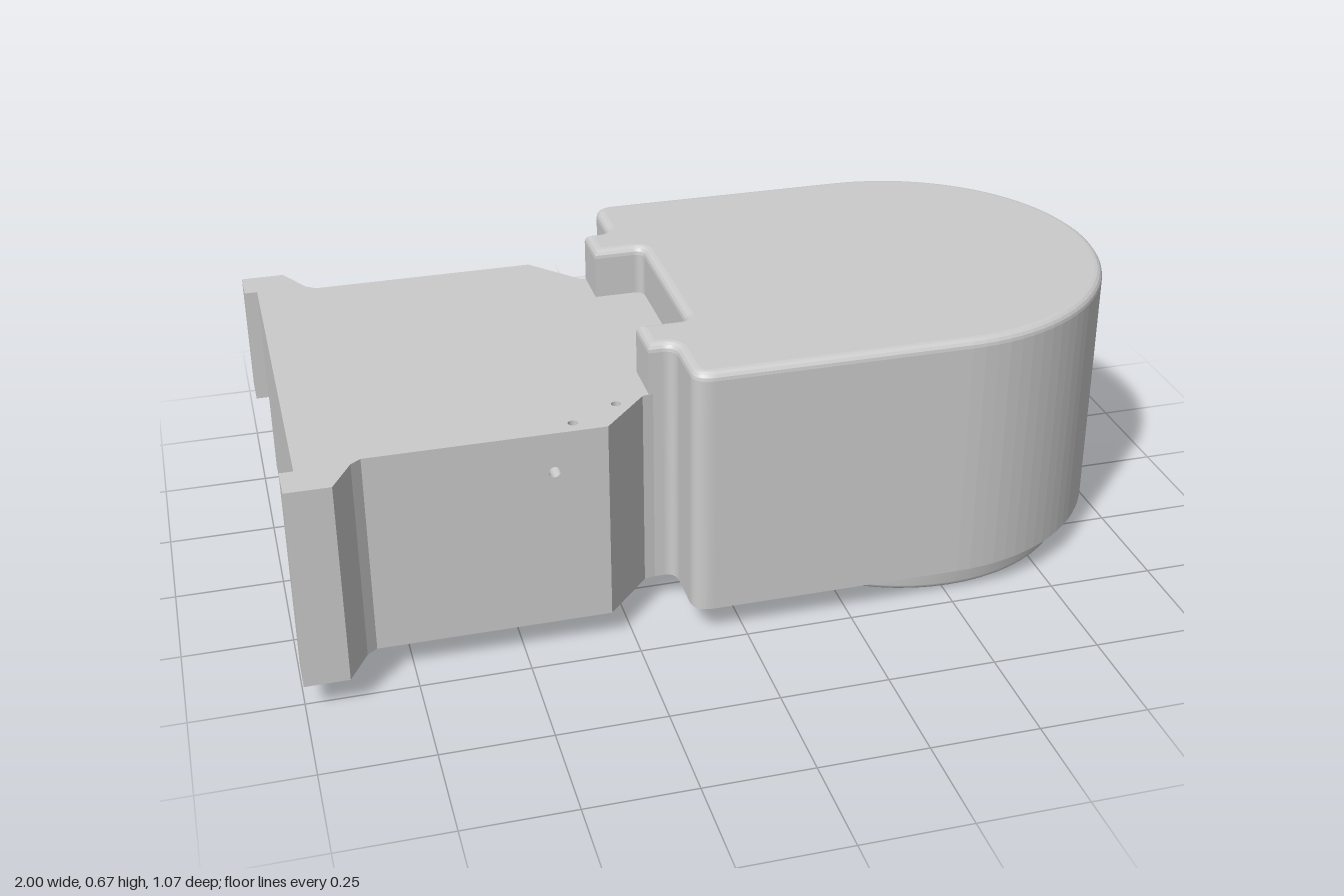
import * as THREE from 'three';

const grey = new THREE.MeshStandardMaterial({ color: 0xcccccc });

const polygon = (pts) => new THREE.Shape(pts.map(([x, z]) => new THREE.Vector2(x, z)));

// Cut round holes, each given as [x, y], into a shape
function drill(shape, centres, r) {
  for (const [x, y] of centres) {
    shape.holes.push(new THREE.Path().absarc(x, y, r, 0, Math.PI * 2, true));
  }
  return shape;
}

// Upright prism from a plan shape (x, z), optionally with rounded rims
function prism(name, shape, y0, y1, bevel = 0) {
  const geo = new THREE.ExtrudeGeometry(shape, {
    depth: y1 - y0 - 2 * bevel, curveSegments: 24, bevelEnabled: bevel > 0,
    bevelThickness: bevel, bevelSize: bevel, bevelOffset: -bevel, bevelSegments: 4,
  });
  geo.rotateX(Math.PI / 2).translate(0, y1 - bevel, 0);
  const mesh = new THREE.Mesh(geo, grey);
  mesh.name = name;
  return mesh;
}

// Plan of the housing: necked at one end, round at the other
function housingPlan(recessed) {
  const s = new THREE.Shape();
  s.moveTo(-0.18, -0.315);
  s.lineTo(-0.15, -0.315);
  s.quadraticCurveTo(-0.12, -0.315, -0.12, -0.35);
  s.lineTo(-0.12, -0.44);
  s.quadraticCurveTo(-0.12, -0.48, -0.07, -0.48);
  s.absellipse(0.515, 0, 0.485, 0.48, -Math.PI / 2, Math.PI / 2, false, 0);
  s.lineTo(-0.07, 0.48);
  s.quadraticCurveTo(-0.12, 0.48, -0.12, 0.44);
  s.lineTo(-0.12, 0.35);
  s.quadraticCurveTo(-0.12, 0.315, -0.15, 0.315);
  s.lineTo(-0.18, 0.315);
  if (recessed) {
    s.lineTo(-0.18, 0.205);
    s.lineTo(-0.085, 0.205);
    s.quadraticCurveTo(-0.062, 0.205, -0.062, 0.18);
    s.lineTo(-0.062, -0.18);
    s.quadraticCurveTo(-0.062, -0.205, -0.085, -0.205);
    s.lineTo(-0.18, -0.205);
  }
  return s;
}

export function createModel() {
  const model = new THREE.Group();
  model.name = 'housingAssembly';
  const base = 0.07, deck = 0.55, top = 0.67;

  // Main housing: lower body with two screw holes, rounded upper body with recess
  model.add(prism('lowerHousing', drill(housingPlan(false), [[0.17, -0.42], [0.17, 0.42]], 0.024), base, deck));
  model.add(prism('upperHousing', housingPlan(true), deck - 0.02, top, 0.02));

  // Connector block: drilled floor and deck plates
  const w = 0.435;
  const nose = [[-0.3, -w], [-0.195, -0.32], [-0.17, -0.315], [-0.17, 0.315], [-0.195, 0.32], [-0.3, w]];
  const blockPlan = () => polygon([[-0.97, -w], ...nose, [-0.97, w]]);
  const floorHoles = [[-0.36, -0.4], [-0.36, 0.4], [-0.84, -0.405], [-0.84, 0.405]];
  model.add(prism('blockFloor', drill(blockPlan(), floorHoles, 0.014), base, 0.12));
  model.add(prism('blockDeck', drill(blockPlan(), [[-0.37, 0.4], [-0.26, 0.34]], 0.011), 0.5, deck));

  // Block core, with a pin hole running from side to side
  const coreShape = polygon([[-0.97, 0.12], [-0.3, 0.12], [-0.3, 0.5], [-0.97, 0.5]]);
  drill(coreShape, [[-0.42, 0.455]], 0.013);
  const coreGeo = new THREE.ExtrudeGeometry(coreShape, { depth: 2 * w, bevelEnabled: false });
  coreGeo.translate(0, 0, -w);
  const core = new THREE.Mesh(coreGeo, grey);
  core.name = 'blockCore';
  model.add(core, prism('blockNose', polygon(nose), 0.12, 0.5));

  // Mounting ears; the rear one stops short of the floor
  for (const side of [1, -1]) {
    const ear = [[-1, 0.535], [-0.9, 0.535], [-0.853, 0.452], [-0.83, w], [-0.97, w], [-0.97, 0.45], [-1, 0.45]];
    const plan = polygon(ear.map(([x, z]) => [x, z * side]));
    model.add(prism(side > 0 ? 'frontEar' : 'rearEar', plan, side > 0 ? base : 0.26, deck));
  }

  // Round foot: flared rim and a drilled face plate
  const foot = new THREE.Group();
  foot.name = 'foot';
  foot.position.x = 0.515;
  const profile = [[0.425, 0], [0.436, 0.005], [0.441, 0.015], [0.442, 0.045], [0.447, 0.06], [0.46, base]];
  const rim = new THREE.Mesh(
    new THREE.LatheGeometry(profile.map(([r, y]) => new THREE.Vector2(r, y)), 64), grey);
  rim.name = 'footRim';
  const holes = [-73, -45, 45, 73].map((deg) => {
    const a = THREE.MathUtils.degToRad(deg);
    return [0.395 * Math.cos(a), 0.395 * Math.sin(a)];
  });
  const disc = new THREE.Shape().absarc(0, 0, 0.427, 0, Math.PI * 2, false);
  foot.add(rim, prism('footPlate', drill(disc, holes, 0.022), 0, base));
  model.add(foot);

  return model;
}
